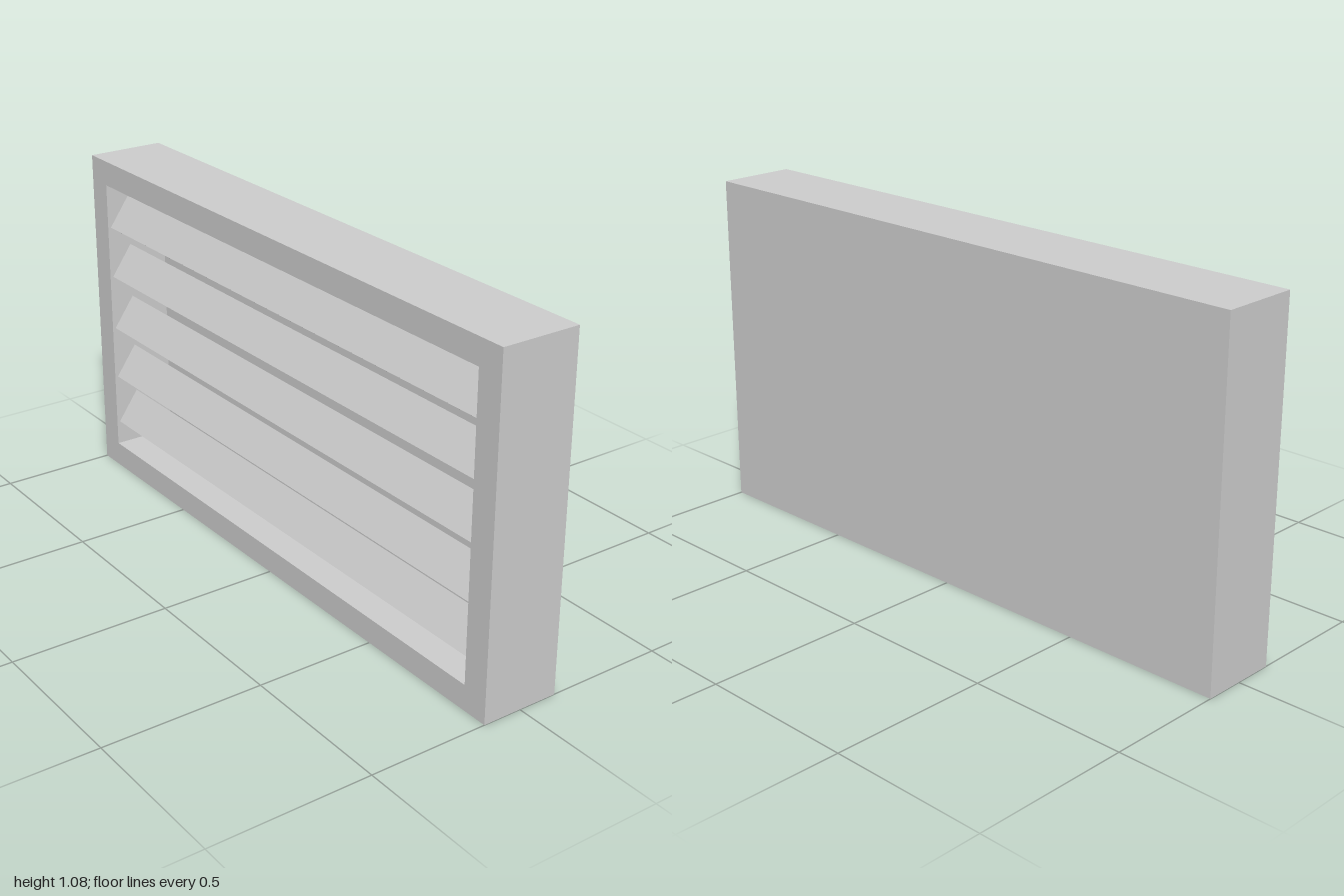
import * as THREE from 'three';

const W = 2, H = 1.08, D = 0.25;
const OPEN_X = 0.915, OPEN_LOW = 0.08, OPEN_HIGH = 1.0;
const BACK_Z = -0.085; // inner face of the back panel

export function createModel() {
  const group = new THREE.Group();
  const material = new THREE.MeshStandardMaterial({ color: 0xcccccc, flatShading: true });
  const add = (name, geometry) => {
    const mesh = new THREE.Mesh(geometry, material);
    mesh.name = name;
    group.add(mesh);
    return mesh;
  };

  // Rectangular frame with the louvre opening
  const outline = new THREE.Shape([
    new THREE.Vector2(-W / 2, 0), new THREE.Vector2(W / 2, 0),
    new THREE.Vector2(W / 2, H), new THREE.Vector2(-W / 2, H),
  ]);
  outline.holes.push(new THREE.Path([
    new THREE.Vector2(-OPEN_X, OPEN_LOW), new THREE.Vector2(-OPEN_X, OPEN_HIGH),
    new THREE.Vector2(OPEN_X, OPEN_HIGH), new THREE.Vector2(OPEN_X, OPEN_LOW),
  ]));
  add('frame', new THREE.ExtrudeGeometry(outline, { depth: D, bevelEnabled: false }))
    .position.z = -D / 2;

  // Closed back, set inside the frame and flush with its rear
  const backDepth = BACK_Z + D / 2;
  add('backPanel', new THREE.BoxGeometry(OPEN_X * 2, OPEN_HIGH - OPEN_LOW, backDepth))
    .position.set(0, (OPEN_LOW + OPEN_HIGH) / 2, -D / 2 + backDepth / 2);

  // Thin slats, lower edge to the front and upper edge leaning back
  const rise = 0.1, run = 0.07, thickness = 0.005;
  const slat = new THREE.BoxGeometry(OPEN_X * 2, Math.hypot(rise, run), thickness);
  slat.translate(0, 0, -thickness / 2);
  slat.rotateX(-Math.atan2(run, rise));
  [0.16, 0.327, 0.503, 0.685, 0.855].forEach((low, i) => {
    add(`slat${i + 1}`, slat).position.set(0, low + rise / 2, 0.115 - run / 2);
  });

  return group;
}
